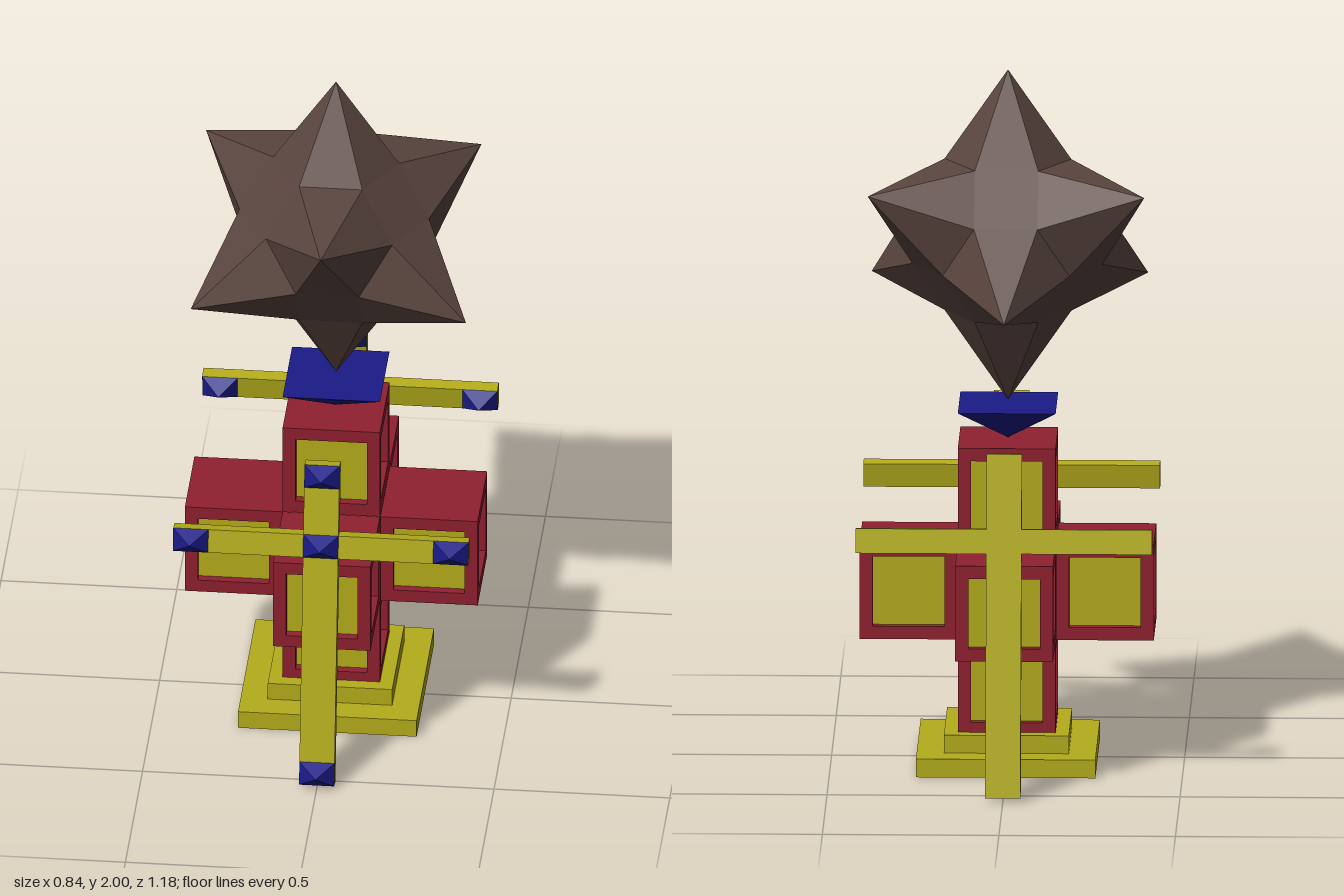
import * as THREE from 'three';

const mat = (color) => new THREE.MeshStandardMaterial({ color, flatShading: true });
const yellow = mat(0xb4ad1c), red = mat(0x8f2030), blue = mat(0x1a1a88), brown = mat(0x5a453f);
const CZ = -0.018; // z of the tower axis

function add(parent, name, geometry, material, x = 0, y = 0, z = 0) {
  const mesh = new THREE.Mesh(geometry, material);
  mesh.name = name;
  mesh.position.set(x, y, z);
  parent.add(mesh);
  return mesh;
}

const box = (w, h, d) => new THREE.BoxGeometry(w, h, d);

// Four-sided pyramid with its base on y = 0 and its tip at +y
function pyramid(w, h, d) {
  return new THREE.ConeGeometry(Math.SQRT1_2, 1, 4)
    .rotateY(Math.PI / 4).translate(0, 0.5, 0).scale(w, h, d);
}

// Truncated octahedron with a spike on each of its eight hexagons
function starGeometry() {
  const s = 0.127, k = 2.18;
  const X = new THREE.Vector3(-1, 1, 0).normalize();
  const Y = new THREE.Vector3(1, 1, 1).normalize();
  const Z = new THREE.Vector3(1, 1, -2).normalize();
  const place = (x, y, z) => {
    const p = new THREE.Vector3(x, y, z).multiplyScalar(s);
    return new THREE.Vector3(p.dot(X), p.dot(Y), p.dot(Z));
  };
  const pos = [];
  const tri = (a, b, c) => {
    // turn each face outwards
    const n = b.clone().sub(a).cross(c.clone().sub(a));
    const out = n.dot(a.clone().add(b).add(c)) > 0;
    for (const p of out ? [a, b, c] : [a, c, b]) pos.push(p.x, p.y, p.z);
  };
  const hex = [[0, 1, 2], [1, 0, 2], [2, 0, 1], [2, 1, 0], [1, 2, 0], [0, 2, 1]];
  for (const sx of [1, -1]) for (const sy of [1, -1]) for (const sz of [1, -1]) {
    const ring = hex.map(([x, y, z]) => place(x * sx, y * sy, z * sz));
    const tip = place(k * sx, k * sy, k * sz);
    ring.forEach((p, i) => tri(tip, p, ring[(i + 1) % 6]));
  }
  // six small squares between the spikes
  for (let axis = 0; axis < 3; axis++) for (const side of [2, -2]) {
    const q = [[1, 0], [0, 1], [-1, 0], [0, -1]].map(([u, v]) => {
      const c = [0, 0, 0];
      c[axis] = side; c[(axis + 1) % 3] = u; c[(axis + 2) % 3] = v;
      return place(...c);
    });
    tri(q[0], q[1], q[2]);
    tri(q[0], q[2], q[3]);
  }
  const g = new THREE.BufferGeometry();
  g.setAttribute('position', new THREE.Float32BufferAttribute(pos, 3));
  g.computeVertexNormals();
  return g;
}

// Framed cube with recessed panels on its four sides
function framedBlock(name) {
  const S = 0.277, t = 0.037, recess = 0.025;
  const g = new THREE.Group();
  g.name = name;
  for (const s of [1, -1]) {
    add(g, s > 0 ? 'frameTop' : 'frameBottom', box(S, t, S), red, 0, s * (S - t) / 2, 0);
    for (const r of [1, -1]) {
      add(g, 'framePost', box(t, S - 2 * t, t), red, s * (S - t) / 2, 0, r * (S - t) / 2);
    }
  }
  add(g, 'panelCore', box(S - 2 * recess, S - 2 * t, S - 2 * recess), yellow);
  return g;
}

// Leaning cross with pyramid studs on its +z side
function leaningCross(name, z, tilt) {
  const g = new THREE.Group(), T = 0.038, barY = 0.24;
  g.name = name;
  add(g, 'post', box(0.1, 0.976, T), yellow);
  for (const s of [1, -1]) add(g, 'crossArm', box(0.37, 0.07, T), yellow, s * 0.235, barY, 0);
  for (const [x, y] of [[0, -0.453], [0, barY], [0, 0.453], [0.37, barY], [-0.37, barY]]) {
    add(g, 'stud', pyramid(0.1, 0.047, 0.07).rotateX(Math.PI / 2), blue, x, y, T / 2);
  }
  g.position.set(0, 0.49, z);
  g.rotation.x = tilt;
  return g;
}

export function createModel() {
  const model = new THREE.Group();
  model.name = 'starMonument';

  // Stepped base
  add(model, 'baseLower', box(0.508, 0.053, 0.508), yellow, 0, 0.0265, CZ);
  add(model, 'baseUpper', box(0.354, 0.052, 0.354), yellow, 0, 0.079, CZ);

  // Seven blocks: a column with four arms
  const D = 0.278;
  const blocks = {
    lowerBlock: [0, -1, 0], centreBlock: [0, 0, 0], upperBlock: [0, 1, 0],
    leftBlock: [1, 0, 0], rightBlock: [-1, 0, 0], frontBlock: [0, 0, 1], backBlock: [0, 0, -1],
  };
  for (const [name, [x, y, z]] of Object.entries(blocks)) {
    const b = framedBlock(name);
    b.position.set(x * D, 0.513 + y * D, CZ + z * D);
    model.add(b);
  }

  // Inverted pyramid and the star above it
  add(model, 'starHolder', pyramid(0.277, 0.1, 0.277).rotateX(Math.PI), blue, 0, 1.031, CZ);
  add(model, 'spikedStar', starGeometry(), brown, 0, 1.52, CZ);

  // Crosses leaning in from the front and the back
  model.add(leaningCross('frontCross', 0.45, -0.164));
  model.add(leaningCross('backCross', -0.485, 0.17));
  return model;
}
